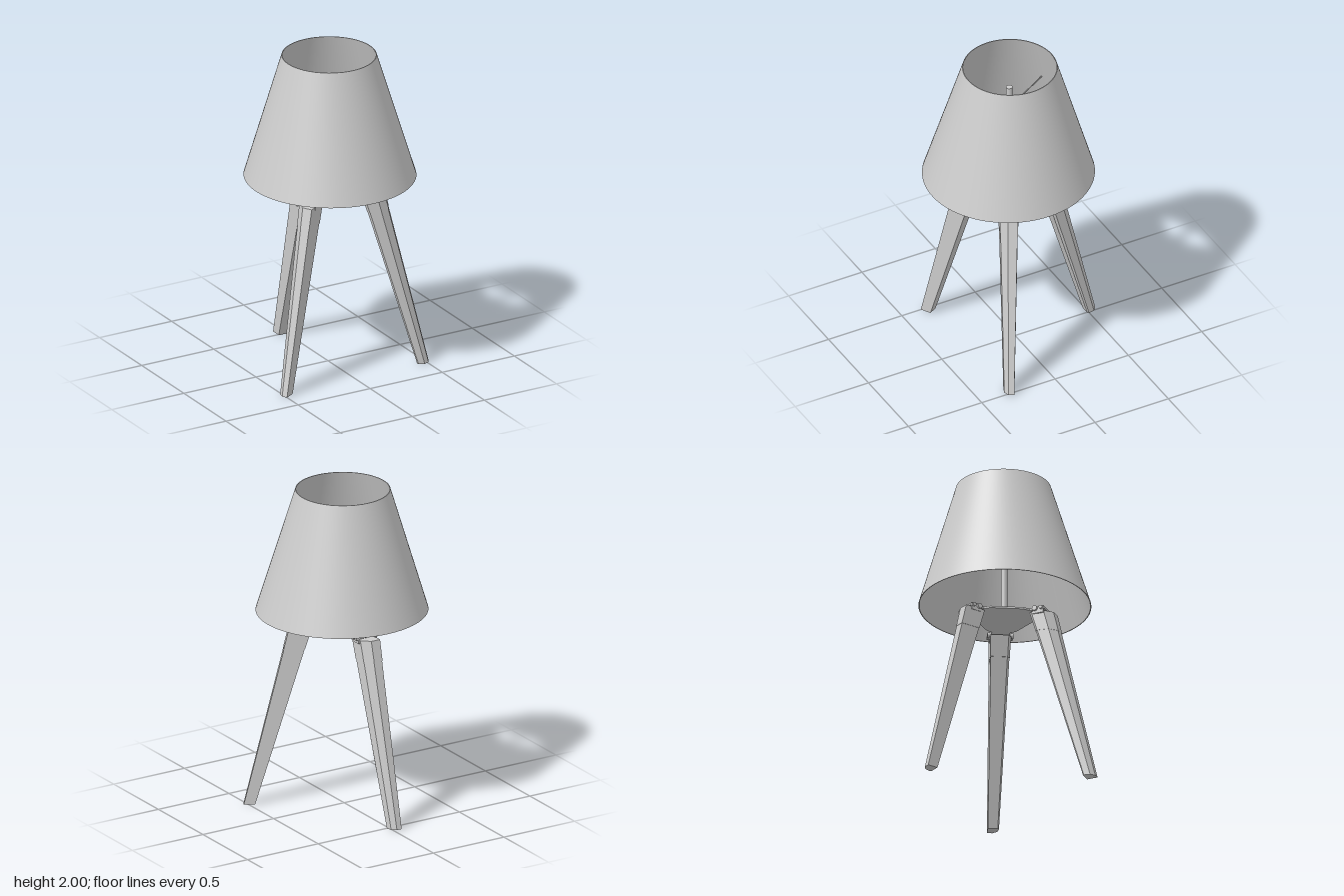
import * as THREE from 'three';
import { toCreasedNormals } from 'three/addons/utils/BufferGeometryUtils.js';

const grey = new THREE.MeshStandardMaterial({ color: 0xcccccc });
const flat = new THREE.MeshStandardMaterial({ color: 0xcccccc, flatShading: true });
const both = new THREE.MeshStandardMaterial({ color: 0xcccccc, side: THREE.DoubleSide });

function add(parent, name, geometry, material, x = 0, y = 0, z = 0) {
  const mesh = new THREE.Mesh(geometry, material);
  mesh.name = name;
  mesh.position.set(x, y, z);
  parent.add(mesh);
  return mesh;
}

// Leg cross-section at height y: x points outward, z sideways, one outer corner planed off
function legSection(y, grow = 0) {
  const t = y / 1.125, mix = THREE.MathUtils.lerp;
  const u0 = mix(0.525, 0.19, t) - grow, u1 = mix(0.593, 0.322, t) + grow;
  const v0 = mix(-0.045, -0.06, t) - grow, v1 = mix(0.022, 0.06, t) + grow;
  const d = u1 - u0, w = v1 - v0;
  return [
    [u1, v0], [u1, v0 + 0.5 * w], [u1 - 0.33 * d, v1 - 0.1 * w],
    [u0 + 0.12 * d, v1], [u0, v1 - 0.12 * w], [u0, v0],
  ].map(([u, v]) => [u, y, v]);
}

// Closed solid between two cross-sections
function loft(low, high) {
  const n = low.length, pos = [];
  const tri = (...corners) => corners.forEach((p) => pos.push(...p));
  for (let i = 0; i < n; i++) {
    const j = (i + 1) % n;
    tri(low[i], high[i], low[j]);
    tri(low[j], high[i], high[j]);
    if (i > 0 && i < n - 1) {
      tri(low[0], low[i], low[j]);
      tri(high[0], high[j], high[i]);
    }
  }
  const g = new THREE.BufferGeometry();
  g.setAttribute('position', new THREE.Float32BufferAttribute(pos, 3));
  g.computeVertexNormals();
  return g;
}

// Thin conical shade, its lower rim dipping very slightly to the front
function shadeGeometry() {
  const y0 = 1.228, y1 = 2, th = 0.005;
  const profile = [[0.518, y0], [0.285, y1], [0.285 - th, y1], [0.518 - th, y0], [0.518, y0]];
  const g = toCreasedNormals(
    new THREE.LatheGeometry(profile.map(([r, y]) => new THREE.Vector2(r, y)), 96), 0.6);
  const p = g.attributes.position;
  for (let i = 0; i < p.count; i++) {
    const k = (y1 - p.getY(i)) / (y1 - y0);
    p.setY(i, p.getY(i) - 0.01 * k * p.getZ(i));
    p.setZ(i, p.getZ(i) + 0.01 * k - 0.005);
  }
  return g;
}

// Three-armed plate outline, one arm repeated around the centre
function plateGeometry(angles) {
  const arm = [[0.165, -0.09], [0.19, -0.055], [0.285, -0.055], [0.285, 0.055], [0.19, 0.055], [0.165, 0.09]];
  const points = angles.flatMap((a) => arm.map(([u, v]) =>
    new THREE.Vector2(u * Math.cos(a) - v * Math.sin(a), u * Math.sin(a) + v * Math.cos(a))));
  const g = new THREE.ExtrudeGeometry(new THREE.Shape(points), { depth: 0.012, bevelEnabled: false });
  return g.rotateX(Math.PI / 2);
}

export function createModel() {
  const model = new THREE.Group();
  model.name = 'tripodLamp';
  const lamp = new THREE.Group();
  lamp.name = 'lamp';
  lamp.position.set(-0.01, 0, 0.035);
  model.add(lamp);

  const angles = [30, 150, 270].map(THREE.MathUtils.degToRad);

  // Legs with collars and hinge brackets
  for (const a of angles) {
    const leg = new THREE.Group();
    leg.name = 'legAssembly';
    leg.rotation.y = -a;
    lamp.add(leg);
    add(leg, 'leg', loft(legSection(0), legSection(1.0)), flat);
    add(leg, 'legCollar', loft(legSection(0.998, 0.002), legSection(1.125, 0.002)), flat);
    for (const s of [-1, 1]) {
      add(leg, 'hingeTab', new THREE.BoxGeometry(0.07, 0.045, 0.01), grey, 0.25, 1.13, s * 0.06);
      for (const [u, r] of [[0.232, 0.016], [0.272, 0.011]]) {
        const bolt = new THREE.CylinderGeometry(r, r, 0.016, 16).rotateX(Math.PI / 2);
        add(leg, 'hingeBolt', bolt, grey, u, 1.138, s * 0.07);
      }
    }
  }

  // Plate, socket and stem
  add(lamp, 'mountingPlate', plateGeometry(angles), grey, 0, 1.15, 0);
  add(lamp, 'socketBase', new THREE.CylinderGeometry(0.054, 0.054, 0.05, 40), grey, 0, 1.174, 0);
  add(lamp, 'stem', new THREE.CylinderGeometry(0.02, 0.02, 0.66, 24), grey, 0, 1.525, 0);

  // Spokes holding the shade
  for (let i = 0; i < 3; i++) {
    const spoke = new THREE.Group();
    spoke.name = 'shadeSpoke';
    spoke.rotation.y = (i * Math.PI * 2) / 3;
    lamp.add(spoke);
    const rod = new THREE.CylinderGeometry(0.004, 0.004, 0.355, 10).rotateZ(Math.PI / 2);
    add(spoke, 'spokeRod', rod, grey, 0.193, 1.7, 0);
  }

  add(lamp, 'shade', shadeGeometry(), both);
  return model;
}
